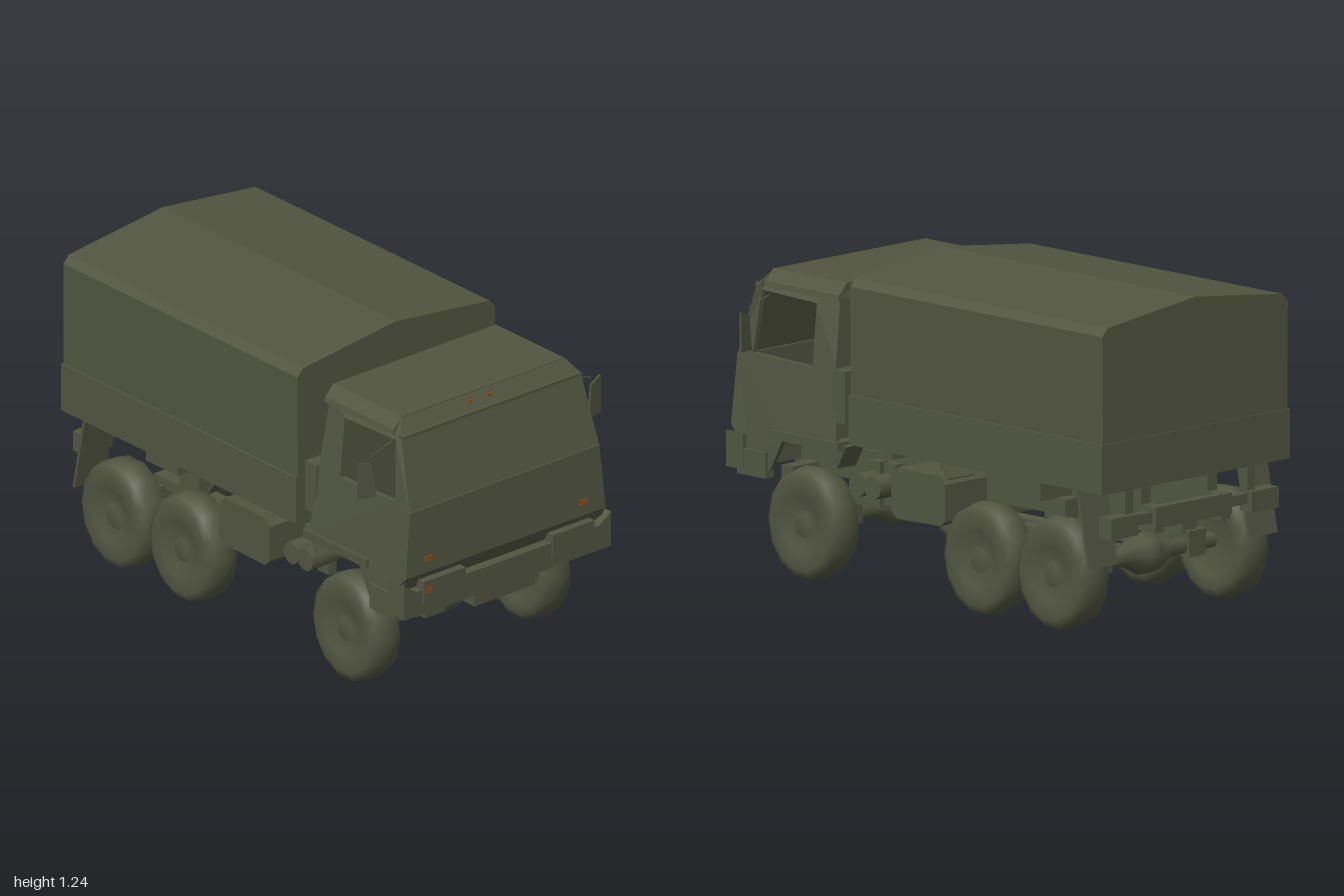
import * as THREE from 'three';

export function createModel() {
  const truck = new THREE.Group();
  truck.name = 'armyTruck';
  const olive = new THREE.MeshStandardMaterial({ color: 0x515540, side: THREE.DoubleSide });
  olive.name = 'olive paint';
  const orange = new THREE.MeshStandardMaterial({ color: 0x8a4a18 });
  orange.name = 'orange lamp';

  const add = (name, geo, x = 0, y = 0, z = 0, mat = olive) => {
    const m = new THREE.Mesh(geo, mat);
    m.name = name;
    m.position.set(x, y, z);
    truck.add(m);
    return m;
  };
  // box given by its limits
  const box = (name, x0, x1, y0, y1, z0, z1, mat) =>
    add(name, new THREE.BoxGeometry(x1 - x0, y1 - y0, z1 - z0),
      (x0 + x1) / 2, (y0 + y1) / 2, (z0 + z1) / 2, mat);
  const pairBox = (name, x0, x1, ...rest) => {
    box(name + 'Left', x0, x1, ...rest);
    box(name + 'Right', -x1, -x0, ...rest);
  };
  const shapeOf = (pts) => new THREE.Shape(pts.map(([a, b]) => new THREE.Vector2(a, b)));
  const extrude = (shape, depth) =>
    new THREE.ExtrudeGeometry(shape, { depth, bevelEnabled: false });
  // strip across the truck through stations [z, y, half width]
  const strip = (stations) => {
    const v = [];
    for (let i = 0; i < stations.length - 1; i++) {
      const [z, y, w] = stations[i], [Z, Y, W] = stations[i + 1];
      v.push(-w, y, z, -W, Y, Z, W, Y, Z, -w, y, z, W, Y, Z, w, y, z);
    }
    const g = new THREE.BufferGeometry();
    g.setAttribute('position', new THREE.Float32BufferAttribute(v, 3));
    g.computeVertexNormals();
    return g;
  };

  // cargo body: gabled canvas over dropside boards
  add('canvasCover', extrude(shapeOf([[-0.485, 0.7], [0.485, 0.7], [0.487, 1.17], [0.46, 1.2],
    [0, 1.255], [-0.46, 1.2], [-0.487, 1.17]]), 1.335), 0, 0, -0.985);
  box('sideBoards', -0.495, 0.495, 0.57, 0.76, -0.99, 0.35);

  // cab shell: back wall, front panels, sloping chin and floor
  add('cabShell', strip([[0.85, 1.157, 0.4], [0.89, 1.1, 0.44], [0.967, 0.82, 0.464],
    [0.975, 0.56, 0.488], [0.93, 0.47, 0.488], [0.88, 0.55, 0.488], [0.45, 0.55, 0.488],
    [0.45, 1.1, 0.44], [0.46, 1.157, 0.4]]));
  add('cabRoof', extrude(shapeOf([[-0.445, 1.095], [0.445, 1.095], [0.44, 1.115],
    [0.4, 1.157], [-0.4, 1.157], [-0.44, 1.115]]), 0.39), 0, 0, 0.455);
  box('windscreenTopEdge', -0.44, 0.44, 1.092, 1.104, 0.87, 0.9);
  box('windscreenSill', -0.465, 0.465, 0.813, 0.823, 0.955, 0.972);

  // cab sides with open windows, leaning inwards towards the roof
  for (const s of [1, -1]) {
    const side = shapeOf([[0.42, 0.55], [0.7, 0.54], [0.77, 0.41], [0.88, 0.47], [0.975, 0.56],
      [0.967, 0.82], [0.89, 1.1], [0.845, 1.15], [0.455, 1.15], [0.45, 0.85]]);
    side.holes.push(new THREE.Path([[0.57, 0.83], [0.57, 1.07], [0.86, 1.08], [0.885, 0.84]]
      .map(([a, b]) => new THREE.Vector2(a, b))));
    const g = extrude(side, 0.02);
    g.rotateY(-Math.PI / 2);
    const p = g.attributes.position;
    for (let i = 0; i < p.count; i++) {
      const lean = Math.max(0, p.getY(i) - 0.56) * 0.093 + Math.max(0, p.getY(i) - 1.1) * 0.6;
      p.setX(i, s * (0.492 + p.getX(i) - lean));
    }
    if (s < 0) {
      // restore the winding on the mirrored side
      for (let i = 0; i < p.count; i += 3) {
        const a = [p.getX(i), p.getY(i), p.getZ(i)];
        p.setXYZ(i, p.getX(i + 1), p.getY(i + 1), p.getZ(i + 1));
        p.setXYZ(i + 1, ...a);
      }
    }
    g.computeVertexNormals();
    add('cabSide', g);

    // door mirror and its arm
    const mirror = add('mirror', extrude(shapeOf([[0.52, 0.865], [0.598, 0.868], [0.598, 1.02],
      [0.538, 1.0]].map(([x, y]) => [s * (x - 0.56), y])), 0.008), s * 0.56, 0, 0.825);
    mirror.rotation.y = s * 0.25;
    const arm = add('mirrorArm', new THREE.CylinderGeometry(0.003, 0.003, 0.11, 5),
      s * 0.49, 1.045, 0.83);
    arm.rotation.z = s * 1.25;
  }
  pairBox('frontMudguard', 0.36, 0.503, 0.535, 0.57, 0.4, 0.76);
  box('airIntake', -0.48, 0.48, 0.64, 0.84, 0.385, 0.45);
  box('intakeDuct', -0.37, 0.37, 0.68, 0.8, 0.355, 0.39);

  // bumper, headlamp housings, step and front lamps
  add('bumper', extrude(shapeOf([[-0.51, 0.4], [0.51, 0.4], [0.51, 0.54], [0.45, 0.5],
    [-0.45, 0.5], [-0.51, 0.54]]), 0.09), 0, 0, 0.895);
  pairBox('bumperEnd', 0.46, 0.505, 0.38, 0.48, 0.78, 0.93);
  pairBox('headlamp', 0.215, 0.42, 0.44, 0.535, 0.95, 0.995);
  box('frontStep', -0.15, 0.15, 0.345, 0.415, 0.87, 0.97);
  pairBox('frontMarker', 0.365, 0.4, 0.605, 0.625, 0.972, 0.979, orange);
  box('turnLamp', -0.415, -0.385, 0.485, 0.51, 0.994, 0.999, orange);
  for (const x of [-0.085, 0.01]) box('roofMarker', x - 0.01, x + 0.01, 1.128, 1.138, 0.862, 0.872, orange);

  // ladder frame
  pairBox('frameRail', 0.15, 0.2, 0.38, 0.48, -0.97, 0.93);
  for (const z of [-0.94, -0.5, -0.1, 0.3, 0.75]) box('crossMember', -0.16, 0.16, 0.4, 0.47, z - 0.025, z + 0.025);
  for (const z of [-0.8, -0.1, 0.2]) box('bedBearer', -0.44, 0.44, 0.53, 0.575, z - 0.025, z + 0.025);
  pairBox('bedRail', 0.15, 0.2, 0.475, 0.575, -0.9, 0.33);
  pairBox('wheelBox', 0.2, 0.42, 0.48, 0.555, -0.59, -0.41);
  box('engine', -0.14, 0.14, 0.34, 0.55, 0.4, 0.87);
  box('transferCase', -0.12, 0.12, 0.3, 0.42, -0.05, 0.2);

  // tanks, rear lamps and flaps
  for (const s of [1, -1]) {
    const tank = add('fuelTank', extrude(shapeOf([[-0.125, 0.34], [-0.1, 0.32], [0.13, 0.315],
      [0.16, 0.34], [0.16, 0.48], [0.13, 0.51], [-0.1, 0.51], [-0.125, 0.48]]
      .map(([z, y]) => [-z, y])), 0.22), s > 0 ? 0.24 : -0.46, 0, 0);
    tank.rotation.y = Math.PI / 2;
    for (const z of [0.27, 0.35]) {
      const air = add('airTank', new THREE.CylinderGeometry(0.045, 0.045, 0.22, 10), s * 0.34, 0.41, z);
      air.rotation.z = Math.PI / 2;
      box('airTankStrap', s * 0.34 - 0.02, s * 0.34 + 0.02, 0.33, 0.49, z - 0.03, z + 0.03);
    }
    const flap = add('mudFlap', new THREE.BoxGeometry(0.15, 0.3, 0.012), s * 0.42, 0.425, -0.888);
    flap.rotation.x = 0.2;
    const stay = add('flapStay', new THREE.BoxGeometry(0.13, 0.07, 0.01), s * 0.42, 0.54, -0.15);
    stay.rotation.x = 0.6;
    const cabStay = add('cabStay', new THREE.BoxGeometry(0.1, 0.1, 0.015), s * 0.42, 0.51, 0.42);
    cabStay.rotation.x = -0.5;
  }
  pairBox('rearLamp', 0.3, 0.44, 0.39, 0.47, -0.985, -0.92);
  pairBox('rearLampBracket', 0.19, 0.32, 0.42, 0.46, -0.96, -0.92);
  box('towBeam', -0.2, 0.2, 0.4, 0.48, -0.98, -0.94);
  pairBox('tailHanger', 0.3, 0.34, 0.46, 0.575, -0.96, -0.92);

  // wheels: domed tyres with a dished outer face and hub
  const tyre = [[0, -0.045], [0.1, -0.05], [0.125, -0.068], [0.175, -0.073], [0.207, -0.055],
    [0.218, 0], [0.207, 0.055], [0.175, 0.073], [0.11, 0.068], [0.06, 0.045], [0.045, 0.06], [0, 0.06]];
  const wheelGeo = new THREE.LatheGeometry(tyre.map(([r, y]) => new THREE.Vector2(r, y)), 14);
  wheelGeo.rotateZ(-Math.PI / 2);
  const housing = [[0.03, -0.36], [0.035, -0.12], [0.08, -0.03], [0.08, 0.03], [0.035, 0.12], [0.03, 0.36]];
  const axleGeo = new THREE.LatheGeometry(housing.map(([r, y]) => new THREE.Vector2(r, y)), 8);
  axleGeo.rotateZ(-Math.PI / 2);
  for (const z of [0.61, -0.32, -0.71]) {
    for (const s of [1, -1]) {
      const w = add('wheel', wheelGeo, s * 0.42, 0.226, z);
      if (s < 0) w.rotation.y = Math.PI;
      w.scale.z = 0.9;
    }
    add('axle', axleGeo, 0, 0.24, z);
    pairBox('springSeat', 0.2, 0.29, 0.2, 0.3, z - 0.04, z + 0.04);
  }

  // leaf springs and drive shaft
  pairBox('frontSpring', 0.18, 0.28, 0.29, 0.32, 0.4, 0.84);
  pairBox('frontSpringHanger', 0.19, 0.34, 0.32, 0.4, 0.8, 0.86);
  pairBox('rearSpring', 0.19, 0.26, 0.29, 0.33, -0.73, -0.3);
  pairBox('rearSpringPivot', 0.18, 0.27, 0.3, 0.46, -0.57, -0.46);
  const shaft = add('driveShaft', new THREE.CylinderGeometry(0.02, 0.02, 1.3, 8), 0, 0.28, -0.05);
  shaft.rotation.x = Math.PI / 2;

  return truck;
}
